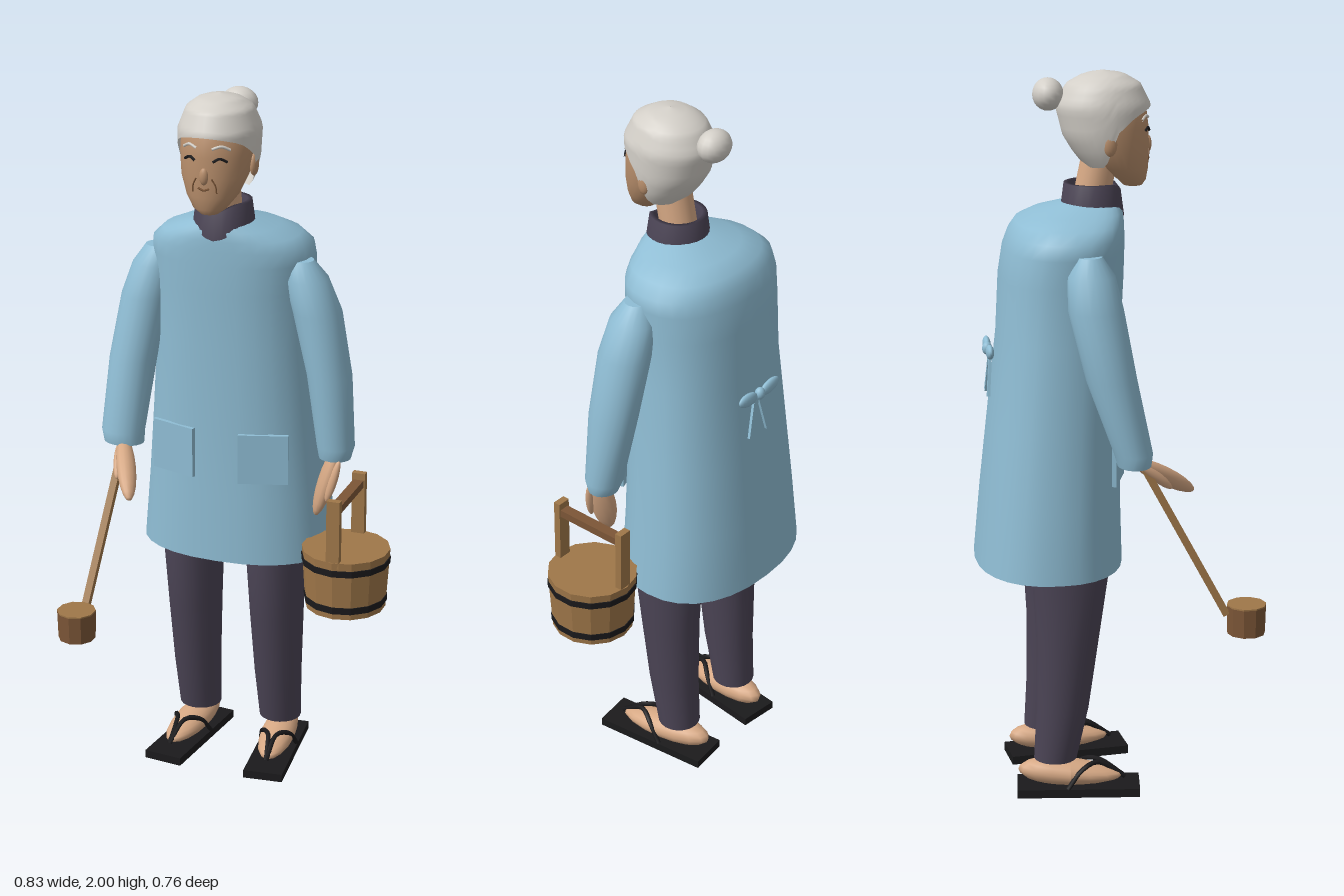
import * as THREE from 'three';

const mat = (name, color) => Object.assign(new THREE.MeshStandardMaterial({ color }), { name });
const V = (x, y, z) => new THREE.Vector3(x, y, z);
const CX = -0.07; // middle line of the body

// Linear lookup in rows sorted by their first column
function lookup(rows, t) {
  let i = 0;
  while (i < rows.length - 2 && t > rows[i + 1][0]) i++;
  const [a, b] = [rows[i], rows[i + 1]];
  const k = THREE.MathUtils.clamp((t - a[0]) / (b[0] - a[0]), 0, 1);
  return a.map((v, c) => v + (b[c] - v) * k);
}

// Skin a grid of rings, point(row, angle) -> [x, y, z], rows going upwards
function skin(count, sides, point) {
  const pos = [], idx = [];
  for (let r = 0; r < count; r++)
    for (let s = 0; s < sides; s++) {
      pos.push(...point(r, (s / sides) * Math.PI * 2));
      if (r === count - 1) continue;
      const a = r * sides + s, b = r * sides + ((s + 1) % sides);
      idx.push(a, b, b + sides, a, b + sides, a + sides);
    }
  const g = new THREE.BufferGeometry();
  g.setAttribute('position', new THREE.Float32BufferAttribute(pos, 3));
  g.setIndex(idx);
  g.computeVertexNormals();
  return g;
}

// Loft of oval sections [y, centre x, centre z, radius x, radius z]
function loft(rows, { sides = 20, power = 2, bottom = true, top = true } = {}) {
  const all = [...rows];
  const flat = (r) => [r[0], r[1], r[2], 0, 0];
  if (bottom) all.unshift(flat(rows[0]), rows[0]);
  if (top) all.push(rows.at(-1), flat(rows.at(-1)));
  const e = (v) => Math.sign(v) * Math.abs(v) ** (2 / power);
  return skin(all.length, sides, (r, a) => {
    const [y, x, z, rx, rz] = all[r];
    return [x + rx * e(Math.sin(a)), y, z + rz * e(Math.cos(a))];
  });
}

export function createModel() {
  const model = new THREE.Group();
  const cloth = mat('blue cloth', 0x8fbdd4);
  cloth.side = THREE.DoubleSide;
  const dark = mat('dark purple cloth', 0x4b4455);
  dark.side = THREE.DoubleSide;
  const skinMat = mat('skin', 0xd6a884);
  const faceMat = mat('face skin', 0xb98f6c);
  const hairMat = mat('grey hair', 0xd3cfc8);
  hairMat.side = THREE.DoubleSide;
  const black = mat('black', 0x1b1a1c);
  const wood = mat('bucket wood', 0x9f7749);
  const darkWood = mat('dark wood', 0x7c5637);

  const add = (name, geo, m, parent = model) => {
    const mesh = new THREE.Mesh(geo, m);
    mesh.name = name;
    parent.add(mesh);
    return mesh;
  };
  const box = (name, size, at, m, parent) => {
    const b = add(name, new THREE.BoxGeometry(...size), m, parent);
    b.position.set(...at);
    return b;
  };
  const ball = (name, at, radii, m, parent) => {
    const b = add(name, new THREE.SphereGeometry(1, 16, 12), m, parent);
    b.position.set(...at);
    b.scale.set(...radii);
    return b;
  };
  // Long rounded or straight piece between two points
  const span = (name, geo, a, b, scale, m) => {
    const s = add(name, geo, m);
    s.position.copy(a).lerp(b, 0.5);
    s.quaternion.setFromUnitVectors(V(0, 1, 0), b.clone().sub(a).normalize());
    s.scale.set(scale[0], a.distanceTo(b) / 2, scale[1]);
    return s;
  };
  const finger = (name, a, b, rx, rz) => span(name, new THREE.SphereGeometry(1, 14, 10), a, b, [rx, rz], skinMat);
  const tube = (name, pts, r, m, parent) =>
    add(name, new THREE.TubeGeometry(new THREE.CatmullRomCurve3(pts), 12, r, 6), m, parent);

  // Smock, open at the hem
  const smock = [
    [0.655, 0.025, -0.38, 0.28], [0.85, 0.02, -0.362, 0.262], [1.05, 0.02, -0.34, 0.245],
    [1.29, 0.022, -0.313, 0.226], [1.45, 0.03, -0.305, 0.224], [1.53, 0.032, -0.292, 0.23],
    [1.57, 0.032, -0.277, 0.226], [1.6, 0.032, -0.258, 0.194], [1.625, 0.03, -0.215, 0.14], [1.65, 0.02, -0.13, 0.07],
  ].map(([y, f, b, rx]) => [y, CX, (f + b) / 2, rx, (f - b) / 2]);
  add('smock', loft(smock, { sides: 28, power: 2.3, bottom: false }), cloth);

  // Sleeves
  add('leftSleeve', loft([
    [0.985, 0.252, -0.062, 0.045, 0.04], [1.02, 0.253, -0.065, 0.053, 0.052], [1.22, 0.228, -0.078, 0.062, 0.07],
    [1.4, 0.188, -0.085, 0.068, 0.074], [1.49, 0.155, -0.086, 0.062, 0.064], [1.54, 0.135, -0.086, 0.04, 0.035],
  ]), cloth);
  add('rightSleeve', loft([
    [0.985, -0.345, 0.025, 0.058, 0.045], [1.02, -0.348, 0.022, 0.062, 0.052], [1.22, -0.338, -0.035, 0.067, 0.068],
    [1.4, -0.31, -0.072, 0.07, 0.074], [1.49, -0.288, -0.082, 0.062, 0.064], [1.54, -0.275, -0.086, 0.04, 0.035],
  ]), cloth);

  for (const s of [-1, 1]) {
    const side = s > 0 ? 'left' : 'right';
    // Pocket set on the curve of the smock
    box(side + 'Pocket', [0.14, 0.145, 0.012], [CX + s * 0.133, 0.975, 0.002], cloth).rotation.y = s * 0.3;
    // Trouser leg
    const x = CX + s * 0.126;
    add(side + 'TrouserLeg', loft([
      [0.1, x, -0.173, 0.061, 0.06], [0.25, x, -0.152, 0.068, 0.073], [0.45, x, -0.137, 0.077, 0.087],
      [0.655, x, -0.128, 0.085, 0.108], [0.95, x, -0.15, 0.088, 0.11],
    ]), dark);
    // Foot and sandal, turned slightly outwards
    const foot = new THREE.Group();
    foot.name = side + 'Foot';
    foot.position.set(CX + s * 0.137, 0, -0.11);
    foot.rotation.y = s * 0.11;
    model.add(foot);
    box('sandalSole', [0.115, 0.024, 0.342], [0, 0.012, 0], black, foot);
    const g = new THREE.SphereGeometry(1, 16, 12);
    const p = g.attributes.position;
    for (let i = 0; i < p.count; i++) {
      const z = p.getZ(i);
      p.setXYZ(i, p.getX(i) * 0.05, 0.02 + (p.getY(i) + 1) * (0.036 - 0.01 * z), -0.022 + z * 0.146);
    }
    g.computeVertexNormals();
    add('bareFoot', g, skinMat, foot);
    for (const t of [-1, 1])
      tube('sandalStrap', [V(0, 0.04, 0.13), V(t * 0.012, 0.088, 0.055), V(t * 0.04, 0.075, 0.01), V(t * 0.054, 0.024, -0.03)], 0.007, black, foot);
    // Bow at the back
    ball(side + 'BowLoop', [CX + s * 0.046, 1.25, -0.335], [0.038, 0.02, 0.011], cloth).rotation.z = s * 0.15;
    const tail = box(side + 'BowTail', [0.018, 0.12, 0.008], [CX + s * 0.022, 1.182, -0.335], cloth);
    tail.rotation.set(0.08, 0, s * 0.25);
  }
  ball('bowKnot', [CX, 1.25, -0.338], [0.015, 0.018, 0.014], cloth);

  // Neck and collar, the collar dipping at the front
  span('neck', new THREE.CylinderGeometry(1, 1, 2, 18), V(CX, 1.62, -0.06), V(CX, 1.79, -0.025), [0.05, 0.05], skinMat);
  const collar = (y, a) => y - 0.022 * Math.max(0, Math.cos(a)) ** 8;
  const rim = [[1.625, 0.087], [1.7, 0.077], [1.7, 0.064], [1.64, 0.064]];
  add('collar', skin(4, 24, (r, a) => [CX + rim[r][1] * Math.sin(a), collar(rim[r][0], a), -0.05 + rim[r][1] * Math.cos(a)]), dark);

  // Head
  const headRows = [
    [1.69, 0.085, 0.035, 0.025], [1.705, 0.095, 0.02, 0.046], [1.74, 0.101, -0.03, 0.072], [1.79, 0.103, -0.07, 0.092],
    [1.85, 0.102, -0.1, 0.1], [1.9, 0.096, -0.12, 0.1], [1.95, 0.07, -0.1, 0.08],
  ].map(([y, f, b, rx]) => [y, CX, (f + b) / 2, rx, (f - b) / 2]);
  add('head', loft(headRows, { sides: 24 }), faceMat);
  const onFace = (dx, y, out = 0.001) => {
    const [, x, z, rx, rz] = lookup(headRows, y);
    return V(x + dx, y, z + rz * Math.sqrt(1 - (dx / rx) ** 2) + out);
  };
  const faceLine = (name, pts, r, m) => tube(name, pts.map(([x, y]) => onFace(x, y)), r, m);
  for (const s of [-1, 1]) {
    faceLine('smilingEye', [[s * 0.025, 1.841], [s * 0.042, 1.85], [s * 0.06, 1.841]], 0.004, black);
    faceLine('eyebrow', [[s * 0.022, 1.875], [s * 0.045, 1.882], [s * 0.066, 1.872]], 0.004, hairMat);
    faceLine('cheekFold', [[s * 0.022, 1.795], [s * 0.032, 1.775], [s * 0.034, 1.755]], 0.002, darkWood);
    ball('ear', [CX + s * 0.099, 1.815, -0.015], [0.012, 0.032, 0.019], faceMat);
  }
  faceLine('mouth', [[-0.016, 1.768], [0, 1.763], [0.016, 1.768]], 0.003, darkWood);
  ball('nose', [CX, 1.8, 0.1], [0.013, 0.024, 0.011], faceMat);

  // Hair cap, its edge high on the forehead and low at the nape
  const hairRows = [
    [1.74, 0.06, -0.065, 0.08], [1.78, 0.09, -0.1, 0.102], [1.83, 0.102, -0.13, 0.111], [1.91, 0.107, -0.15, 0.112],
    [1.965, 0.08, -0.12, 0.09], [1.99, 0.037, -0.075, 0.055], [2.0, -0.02, -0.022, 0.001],
  ];
  const hairline = [[-1, 1.745], [-0.35, 1.75], [-0.1, 1.775], [0.13, 1.84], [0.6, 1.885], [1, 1.905]];
  const steps = 18;
  add('hair', skin(steps + 1, 32, (r, a) => {
    const low = lookup(hairline, Math.cos(a))[1];
    const y = 2 - (2 - low) * (1 - r / steps) ** 1.6;
    const [, f, b, rx] = lookup(hairRows, y);
    return [CX + rx * Math.sin(a), y, (f + b) / 2 + ((f - b) / 2) * Math.cos(a)];
  }), hairMat);
  ball('hairBun', [CX, 1.938, -0.168], [0.052, 0.044, 0.042], hairMat);

  // Hands
  finger('rightHand', V(-0.35, 1.0, 0.02), V(-0.258, 0.882, 0.2), 0.028, 0.024);
  finger('rightThumb', V(-0.35, 0.99, 0.04), V(-0.325, 0.91, 0.13), 0.014, 0.014);
  finger('leftHand', V(0.262, 1.02, -0.05), V(0.205, 0.815, -0.035), 0.022, 0.036);
  finger('leftThumb', V(0.275, 0.99, -0.03), V(0.245, 0.87, -0.01), 0.012, 0.014);

  // Bucket
  const bucket = new THREE.Group();
  bucket.name = 'bucket';
  bucket.position.set(0.292, 0, -0.052);
  model.add(bucket);
  const drum = (name, rt, rb, y0, y1, n, m, parent, open = false) => {
    const g = new THREE.CylinderGeometry(rt, rb, y1 - y0, n, 1, open).toNonIndexed();
    g.computeVertexNormals();
    const d = add(name, g, m, parent);
    d.position.y = (y0 + y1) / 2;
    return d;
  };
  drum('bucketTub', 0.125, 0.114, 0.55, 0.725, 14, wood, bucket);
  drum('upperHoop', 0.1265, 0.1255, 0.683, 0.702, 14, black, bucket);
  drum('lowerHoop', 0.1185, 0.1175, 0.567, 0.587, 14, black, bucket);
  for (const s of [-1, 1]) box('handlePost', [0.038, 0.2, 0.02], [0, 0.807, s * 0.111], wood, bucket);
  box('handleBar', [0.03, 0.022, 0.24], [0, 0.876, 0], darkWood, bucket);

  // Ladle
  const ladle = new THREE.Group();
  ladle.name = 'ladle';
  ladle.position.set(-0.367, 0, 0.33);
  model.add(ladle);
  drum('ladleCup', 0.054, 0.052, 0.505, 0.585, 10, darkWood, ladle);
  drum('ladleTop', 0.054, 0.054, 0.584, 0.588, 10, wood, ladle);
  span('ladleHandle', new THREE.BoxGeometry(2, 2, 2), V(-0.367, 0.56, 0.275), V(-0.338, 0.97, 0.055), [0.01, 0.01], wood);
  return model;
}
